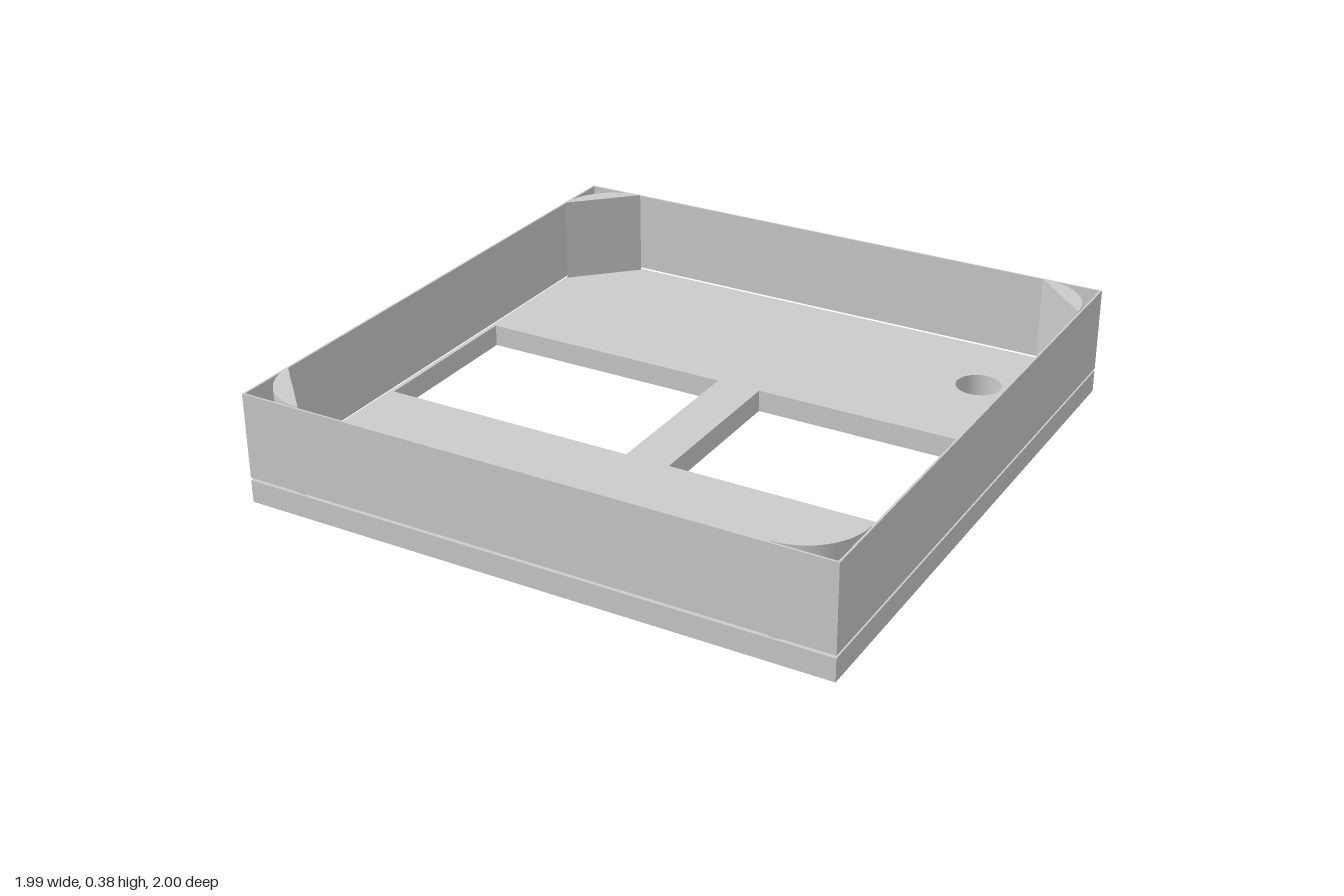
import * as THREE from 'three';
import { toCreasedNormals } from 'three/addons/utils/BufferGeometryUtils.js';

const W = 0.995, D = 1;            // outer half sizes
const T = 0.007;                   // wall thickness
const R = 0.2;                     // inner corner radius
const PLATE = 0.076;               // base plate thickness
const WALL_Y = [0.085, 0.372];     // walls hover just above the plate
const CORNER_Y = [PLATE, 0.375];   // corner fillers join plate and walls

const material = new THREE.MeshStandardMaterial({ color: 0xcccccc });

// Extrudes a plan outline (x, -z) upwards between two heights
function slab(name, shape, y0, y1) {
  let geometry = new THREE.ExtrudeGeometry(shape, { depth: y1 - y0, bevelEnabled: false, curveSegments: 24 });
  geometry.rotateX(-Math.PI / 2).translate(0, y0, 0);
  geometry = toCreasedNormals(geometry, 0.5);
  const mesh = new THREE.Mesh(geometry, material);
  mesh.name = name;
  return mesh;
}

function rectangle(x0, y0, x1, y1, Type = THREE.Shape) {
  return new Type([[x0, y0], [x1, y0], [x1, y1], [x0, y1]].map(p => new THREE.Vector2(...p)));
}

export function createModel() {
  const group = new THREE.Group();
  group.name = 'tray';

  // Base plate with two windows and a round hole at the back
  const plate = rectangle(-W, -D, W, D);
  plate.holes.push(
    rectangle(-0.98, -0.293, -0.08, 0.307, THREE.Path),
    rectangle(0.075, -0.293, 0.977, 0.307, THREE.Path),
    new THREE.Path().absarc(0.695, 0.705, 0.077, 0, Math.PI * 2, true)
  );
  group.add(slab('basePlate', plate, 0, PLATE));

  // Thin surrounding walls
  const walls = rectangle(-W, -D, W, D);
  walls.holes.push(rectangle(-W + T, -D + T, W - T, D - T, THREE.Path));
  group.add(slab('walls', walls, ...WALL_Y));

  // Concave fillers that round the four inner corners
  const names = ['backLeftCorner', 'backRightCorner', 'frontRightCorner', 'frontLeftCorner'];
  names.forEach((name, i) => {
    const sx = i === 0 || i === 3 ? 1 : -1;
    const sy = i < 2 ? 1 : -1;
    const x = sx * (W - T), y = sy * (D - T);
    const start = i * Math.PI / 2;
    const corner = new THREE.Shape();
    corner.moveTo(x, y);
    corner.absarc(x - sx * R, y - sy * R, R, start, start + Math.PI / 2, false);
    corner.closePath();
    group.add(slab(name, corner, ...CORNER_Y));
  });

  return group;
}
